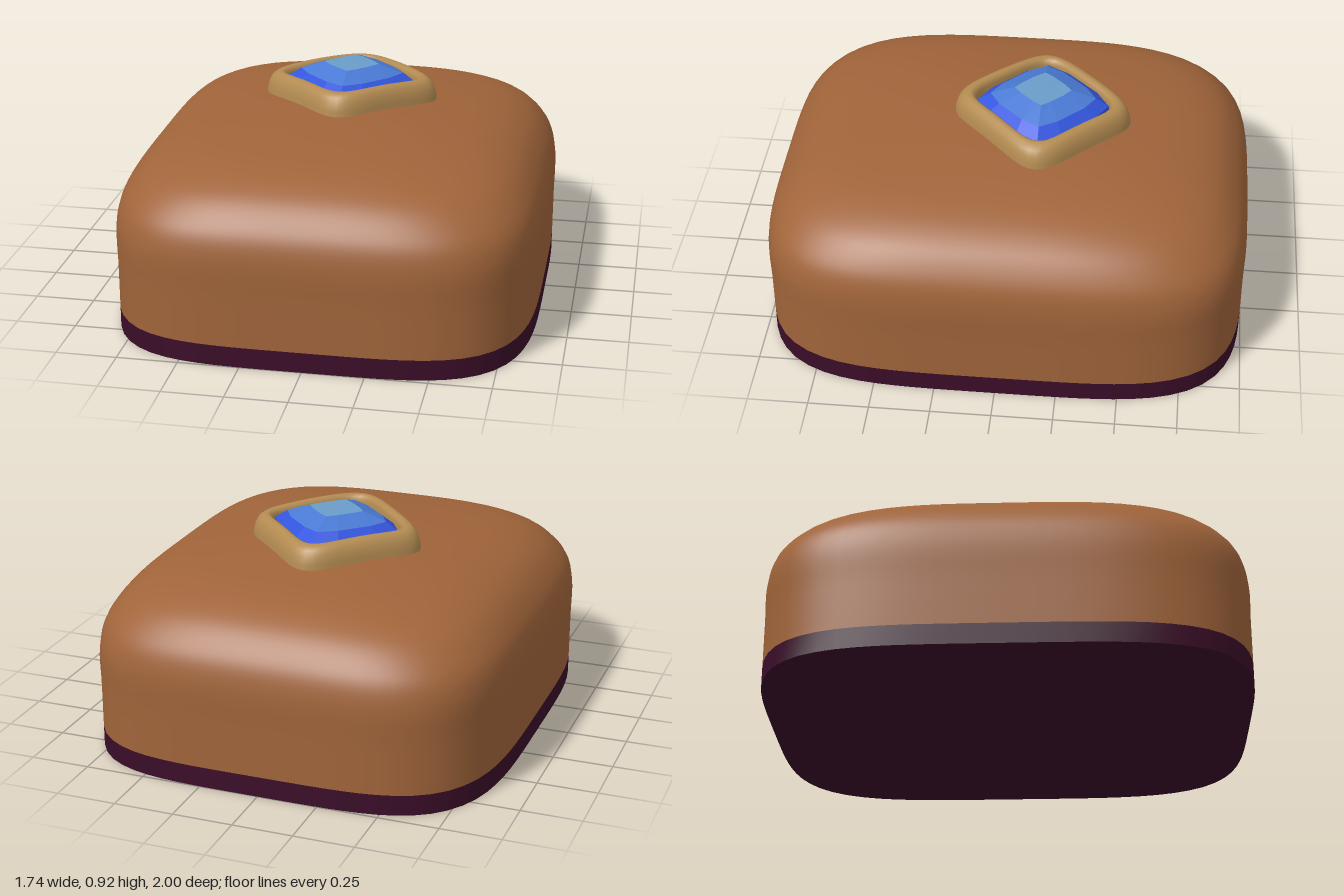
import * as THREE from 'three';
import { toCreasedNormals } from 'three/addons/utils/BufferGeometryUtils.js';

const HALF_X = 0.87, HALF_Z = 1;
const JEWEL_Z = -0.12;

const makeMaterial = (name, color) => {
  const m = new THREE.MeshStandardMaterial({ color });
  m.name = name;
  return m;
};

// Point on a rounded square of half-size 1; n sets how square the corners are
function outline(angle, n) {
  const c = Math.cos(angle), s = Math.sin(angle);
  const r = Math.pow(Math.abs(c) ** n + Math.abs(s) ** n, -1 / n);
  return [c * r, s * r];
}

// Skin over rings listed from the lower outside to the upper inside;
// place(ring, angle) returns the [x, y, z] of a point
function loft(rings, segments, place) {
  const positions = [], index = [];
  rings.forEach((ring, j) => {
    for (let i = 0; i < segments; i++) {
      positions.push(...place(ring, (i / segments) * Math.PI * 2));
      if (j === rings.length - 1) continue;
      const a = j * segments + i, b = j * segments + ((i + 1) % segments);
      const c = a + segments, d = b + segments;
      index.push(a, c, b, b, c, d);
    }
  });
  const geometry = new THREE.BufferGeometry();
  geometry.setAttribute('position', new THREE.Float32BufferAttribute(positions, 3));
  geometry.setIndex(index);
  geometry.computeVertexNormals();
  return geometry;
}

// Side and dome profile: x is the scale of the outline, y the height
const profile = new THREE.CatmullRomCurve3([
  [1, 0.085], [1, 0.28], [1, 0.44], [0.98, 0.53], [0.94, 0.595], [0.88, 0.655], [0.8, 0.7],
  [0.7, 0.733], [0.57, 0.758], [0.4, 0.782], [0.2, 0.802], [0, 0.808],
].map(([s, y]) => new THREE.Vector3(s, y, 0))).getPoints(50);

// Corners soften toward the top of the dome
const squareness = (s) => 2.3 + 1.9 * s * s;

function placeBody({ x: s, y }, angle) {
  const [px, pz] = outline(angle, squareness(s));
  return [px * s * HALF_X, y, pz * s * HALF_Z];
}

// Height of the dome near its middle
function domeHeight(x, z) {
  const s = Math.pow(Math.abs(x / HALF_X) ** 2.4 + Math.abs(z / HALF_Z) ** 2.4, 1 / 2.4);
  const k = profile.findIndex((p) => p.y > 0.5 && p.x <= s);
  const a = profile[k - 1], b = profile[k];
  return THREE.MathUtils.mapLinear(s, a.x, b.x, a.y, b.y);
}

// Rounded diamond around the jewel centre
function diamond(angle, size, n) {
  const [u, v] = outline(angle, n);
  return [(u - v) * size * Math.SQRT1_2, (u + v) * size * Math.SQRT1_2 + JEWEL_Z];
}

export function createModel() {
  const model = new THREE.Group();
  const add = (name, geometry, material) => {
    const mesh = new THREE.Mesh(geometry, material);
    mesh.name = name;
    model.add(mesh);
  };

  const brown = makeMaterial('brown', 0xa0643a);
  const plum = makeMaterial('dark plum', 0x3a0d28);
  const gold = makeMaterial('gold', 0xb48c52);
  const deepBlue = makeMaterial('deep blue', 0x3355dd);
  const midBlue = makeMaterial('mid blue', 0x4a7ad4);
  const paleBlue = makeMaterial('pale blue', 0x6a9cca);

  // Cushion body
  add('body', loft(profile, 96, placeBody), brown);

  // Base slab with a flat underside
  const slab = [[0, 0], [1, 0], [1, 0.085]].map(([x, y]) => ({ x, y }));
  const slabPlace = ({ x: s, y }, angle) => {
    const [px, pz] = outline(angle, squareness(1));
    return [px * s * HALF_X, y, pz * s * HALF_Z];
  };
  add('base', toCreasedNormals(loft(slab, 96, slabPlace), 0.7), plum);

  // Gold setting, draped over the dome
  const bezel = [
    [0.298, -0.04], [0.295, 0.02], [0.288, 0.05], [0.277, 0.073], [0.262, 0.084],
    [0.244, 0.086], [0.232, 0.078], [0.225, 0.06], [0.222, 0],
  ];
  add('setting', loft(bezel, 80, ([size, lift], angle) => {
    const [x, z] = diamond(angle, size, 5.4);
    return [x, domeHeight(x, z) + lift, z];
  }), gold);

  // Faceted gem: steep rim, sloping crown, flat table
  const rings = [[0.223, 0.835, 5.4], [0.221, 0.85, 5.4], [0.177, 0.886, 5.4], [0.09, 0.921, 9], [0, 0.922, 9]];
  const gem = (name, from, to, material) => {
    const geometry = loft(rings.slice(from, to), 16, ([size, y, n], angle) => {
      const [x, z] = diamond(angle, size, n);
      return [x, y, z];
    }).toNonIndexed();
    geometry.computeVertexNormals();
    add(name, geometry, material);
  };
  gem('gemRim', 0, 3, deepBlue);
  gem('gemCrown', 2, 4, midBlue);
  gem('gemTable', 3, 5, paleBlue);

  return model;
}
